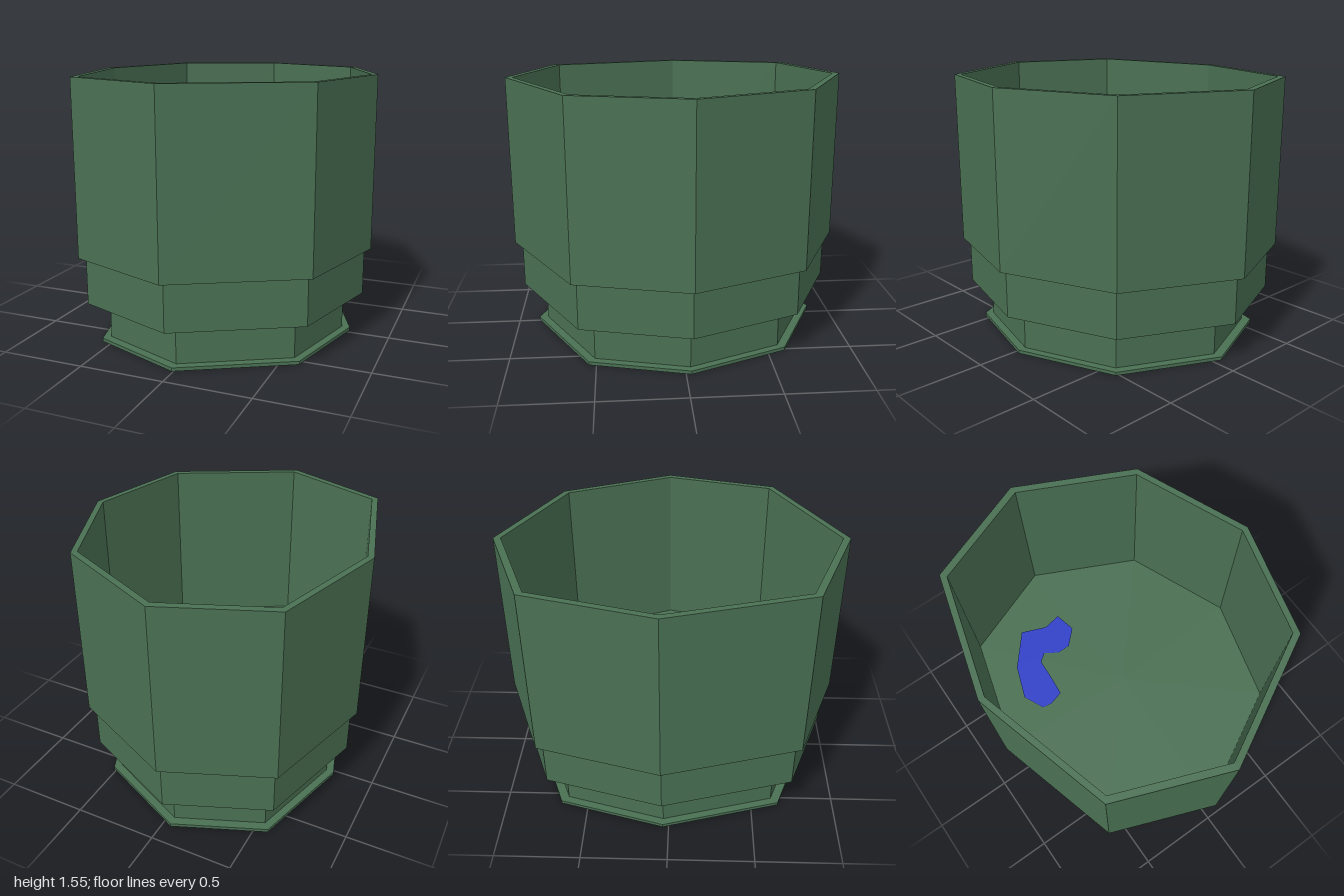
import * as THREE from 'three';

// Slightly irregular eight-sided plan of the pot, as [x, z]
const PLAN = [
  [-0.06, -1], [0.59, -0.69], [0.865, -0.035], [0.695, 0.62],
  [-0.01, 1], [-0.64, 0.76], [-0.865, -0.04], [-0.665, -0.76],
];

// Outline of the flat patch lying on the floor, as [x, z]
const PATCH = [
  [-0.36, -0.65], [-0.21, -0.59], [-0.10, -0.61], [-0.07, -0.48], [-0.16, -0.39],
  [-0.24, -0.39], [-0.32, -0.44], [-0.37, -0.40], [-0.375, -0.27], [-0.385, -0.15],
  [-0.47, -0.125], [-0.53, -0.135], [-0.59, -0.26], [-0.52, -0.46],
];

// Sweeps a profile of [plan scale, height] pairs around the plan
function sweep(profile) {
  const positions = [];
  const at = (i, [scale, y]) => {
    const [x, z] = PLAN[i % PLAN.length];
    return [x * scale, y, z * scale];
  };
  for (let k = 0; k < profile.length - 1; k++) {
    const low = profile[k], high = profile[k + 1];
    for (let i = 0; i < PLAN.length; i++) {
      const a0 = at(i, low), b0 = at(i + 1, low);
      const a1 = at(i, high), b1 = at(i + 1, high);
      if (low[0] > 0) positions.push(...b0, ...a0, ...a1);
      if (high[0] > 0) positions.push(...b0, ...a1, ...b1);
    }
  }
  const geometry = new THREE.BufferGeometry();
  geometry.setAttribute('position', new THREE.Float32BufferAttribute(positions, 3));
  geometry.computeVertexNormals();
  return geometry;
}

export function createModel() {
  const group = new THREE.Group();
  const green = new THREE.MeshStandardMaterial({ color: 0x4a7053, flatShading: true });
  const blue = new THREE.MeshStandardMaterial({ color: 0x3040c8, side: THREE.DoubleSide });

  const add = (name, geometry, material) => {
    const mesh = new THREE.Mesh(geometry, material);
    mesh.name = name;
    group.add(mesh);
  };

  // Stepped body, from the ground up
  add('basePlate', sweep([[0, 0], [0.875, 0], [0.875, 0.02], [0.82, 0.02]]), green);
  add('foot', sweep([[0.82, 0.02], [0.82, 0.25]]), green);
  add('collar', sweep([[0.82, 0.25], [0.955, 0.25], [0.955, 0.53]]), green);

  // Thin upper wall: underside, outside, rim and inside
  add('wall', sweep([[0.955, 0.53], [1, 0.53], [1, 1.55], [0.957, 1.55], [0.957, 0.53]]), green);
  add('floor', sweep([[0.957, 0.53], [0, 0.53]]), green);

  // Flat patch on the floor
  const outline = new THREE.Shape(PATCH.map(([x, z]) => new THREE.Vector2(x, -z)));
  const patch = new THREE.ShapeGeometry(outline);
  patch.rotateX(-Math.PI / 2).translate(0, 0.54, 0);
  add('floorPatch', patch, blue);

  return group;
}
